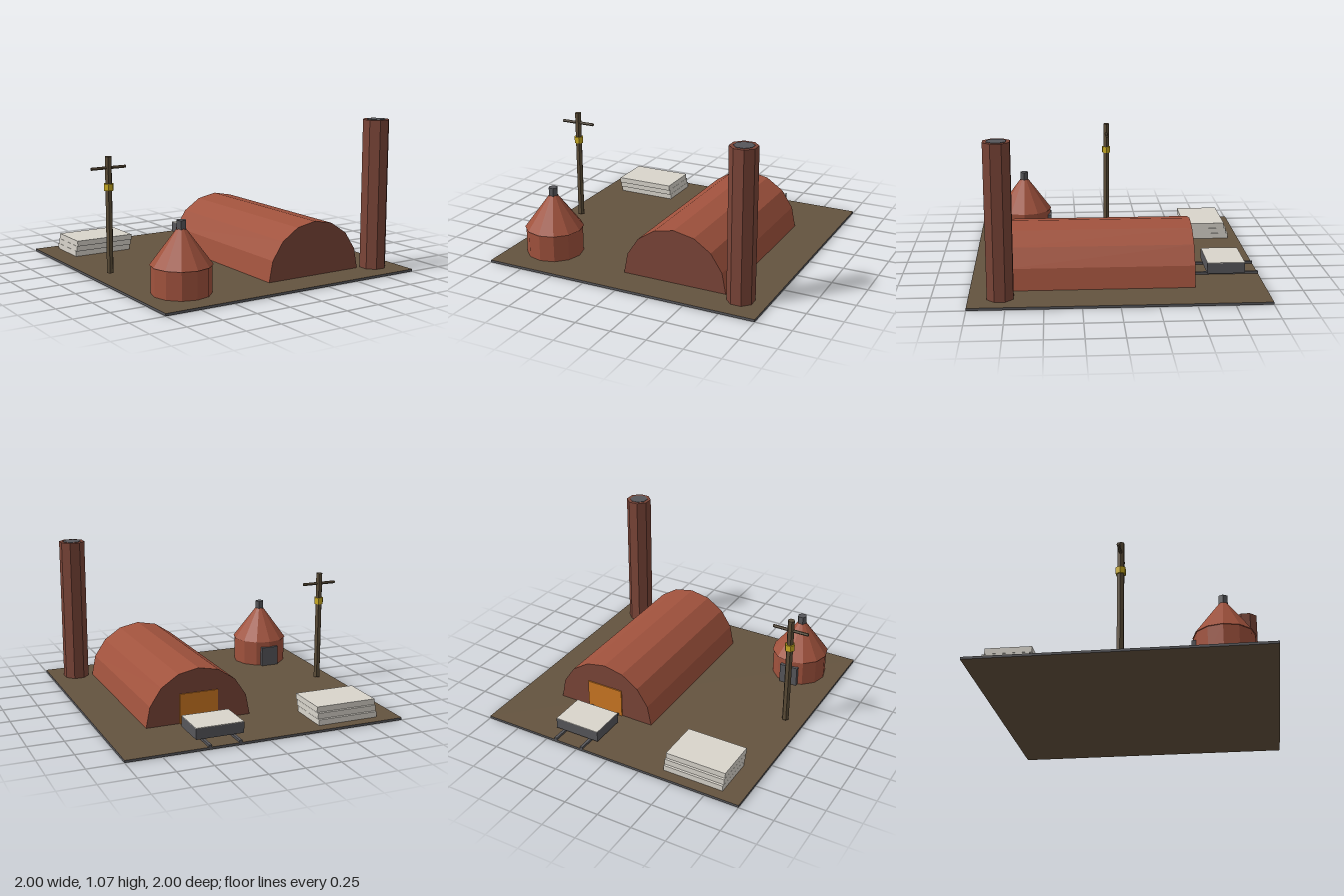
import * as THREE from 'three';

const mat = (name, color) => new THREE.MeshStandardMaterial({ name, color, flatShading: true });

export function createModel() {
  const earth = mat('earth', 0x64533f);
  const brick = mat('brick', 0xa0523d);
  const darkBrick = mat('darkBrick', 0x7b4538);
  const slate = mat('slate', 0x57575b);
  const pale = mat('paleStone', 0xd9d5cc);
  const timber = mat('timber', 0x5c4d38);
  const yellow = mat('yellow', 0xccad22);
  const orange = mat('orange', 0xcc7722);

  const model = new THREE.Group();
  model.name = 'brickworks';
  const GROUND = 0.017;

  const group = (name, x = 0, z = 0) => {
    const g = new THREE.Group();
    g.name = name;
    g.position.set(x, 0, z);
    model.add(g);
    return g;
  };
  const add = (parent, name, geometry, material) => {
    const mesh = new THREE.Mesh(geometry, material);
    mesh.name = name;
    parent.add(mesh);
    return mesh;
  };
  // box given by its extents on each axis
  const box = (parent, name, material, [x0, x1], [y0, y1], [z0, z1]) => {
    const m = add(parent, name, new THREE.BoxGeometry(x1 - x0, y1 - y0, z1 - z0), material);
    m.position.set((x0 + x1) / 2, (y0 + y1) / 2, (z0 + z1) / 2);
    return m;
  };
  // upright prism or cone, turned about its axis
  const prism = (parent, name, material, sides, rTop, rBottom, y0, y1, turn = 0) => {
    const m = add(parent, name, new THREE.CylinderGeometry(rTop, rBottom, y1 - y0, sides), material);
    m.position.y = (y0 + y1) / 2;
    m.rotation.y = turn;
    return m;
  };

  // ground slab with slate edges
  box(model, 'ground', [slate, slate, earth, earth, slate, slate], [-1, 1], [0, GROUND], [-1, 1]);

  // vaulted kiln hall: eight-sided arch, darker end walls
  const hall = group('kilnHall');
  const arch = new THREE.Shape();
  for (let i = 0; i <= 8; i++) {
    const a = (i / 8) * Math.PI;
    const x = 0.315 + 0.38 * Math.cos(a), y = GROUND + 0.38 * Math.sin(a);
    if (i === 0) arch.moveTo(x, y); else arch.lineTo(x, y);
  }
  arch.closePath();
  add(hall, 'vault', new THREE.ExtrudeGeometry(arch, { depth: 1.285, bevelEnabled: false }), [darkBrick, brick])
    .position.z = -0.525;
  box(hall, 'kilnDoor', orange, [0.175, 0.455], [GROUND, 0.228], [-0.533, -0.524]);

  // chimney with flat sides facing the axes
  const chimney = group('chimney', 0.815, 0.787);
  prism(chimney, 'chimneyShaft', darkBrick, 8, 0.0947, 0.0947, GROUND, 1.07, Math.PI / 8);
  prism(chimney, 'chimneyMouth', slate, 8, 0.068, 0.068, 1.066, 1.073, Math.PI / 8);

  // round kiln with cone roof, vent and rear door
  const roundKiln = group('roundKiln', -0.685, 0.655);
  prism(roundKiln, 'kilnWall', brick, 12, 0.2, 0.2, GROUND, 0.207);
  prism(roundKiln, 'coneRoof', brick, 12, 0.03, 0.208, 0.207, 0.445);
  prism(roundKiln, 'roofVent', slate, 6, 0.034, 0.034, 0.44, 0.5, Math.PI / 6);
  box(roundKiln, 'rearDoor', slate, [-0.068, 0.068], [GROUND, 0.165], [-0.21, -0.17]);

  // utility pole with crossarm and collar
  const pole = group('utilityPole', -0.87, 0);
  prism(pole, 'post', timber, 6, 0.025, 0.025, 0.033, 0.843, Math.PI / 6);
  prism(pole, 'collar', yellow, 6, 0.036, 0.036, 0.61, 0.657, Math.PI / 6);
  const arm = prism(pole, 'crossarm', timber, 6, 0.011, 0.011, -0.13, 0.13);
  arm.rotation.z = Math.PI / 2;
  arm.position.y = 0.766;

  // stacked slabs, each shifted a little forward
  const stack = group('slabStack');
  for (let i = 0; i < 3; i++) {
    const y = GROUND + i * 0.041, z = -0.922 + i * 0.016;
    box(stack, 'slab', pale, [-0.845, -0.4], [y, y + 0.04], [z, z + 0.314]);
  }

  // rails and loaded wagon behind the hall
  const track = group('track');
  for (const x of [0.211, 0.425]) {
    box(track, 'rail', slate, [x - 0.01, x + 0.01], [GROUND, 0.033], [-1, -0.525]);
  }
  const wagon = group('wagon');
  box(wagon, 'wagonBody', slate, [0.143, 0.483], [0.038, 0.113], [-0.898, -0.635]);
  box(wagon, 'wagonLoad', pale, [0.143, 0.483], [0.113, 0.117], [-0.898, -0.635]);

  return model;
}
